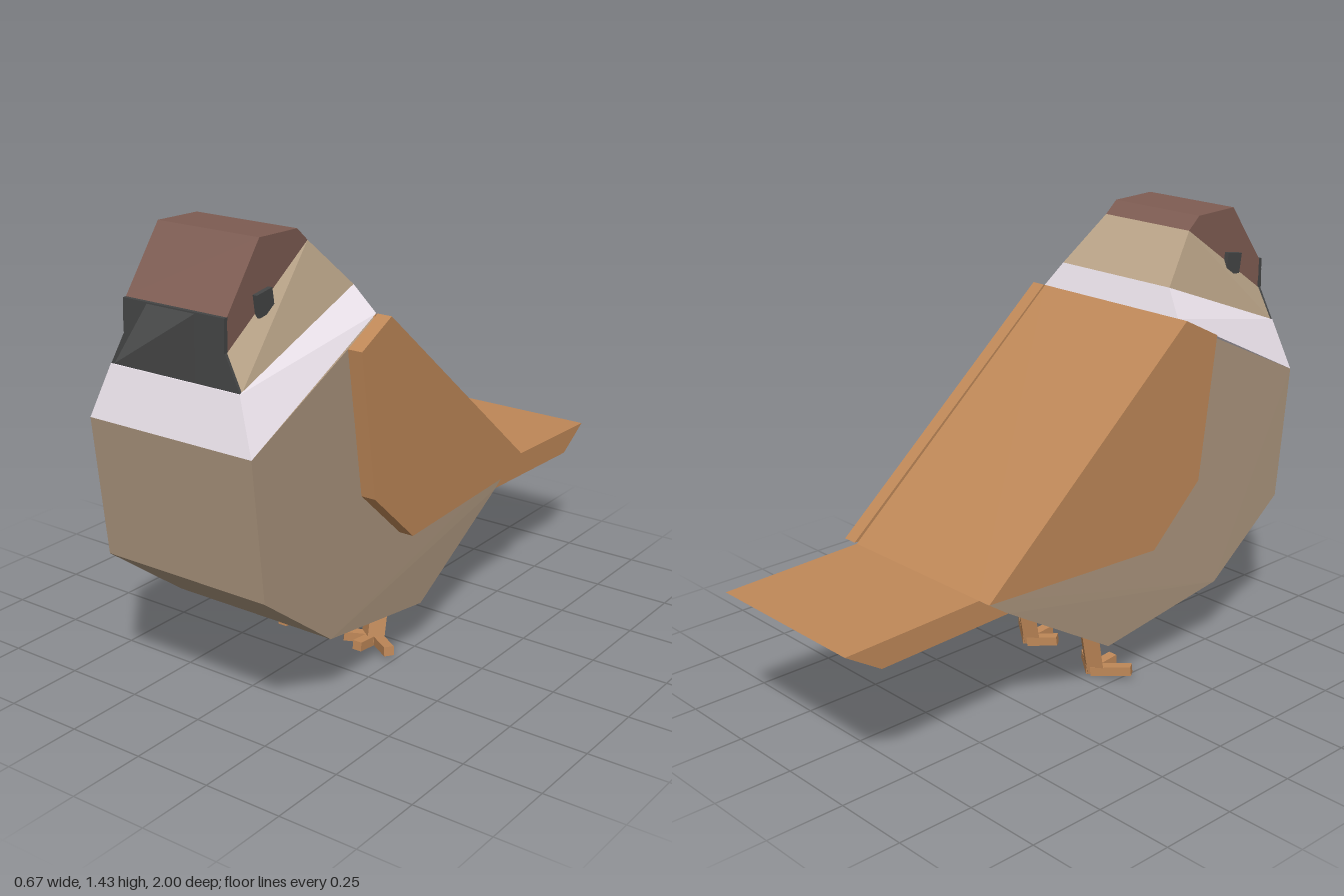
import * as THREE from 'three';
import { ConvexGeometry } from 'three/addons/geometries/ConvexGeometry.js';

const mat = (color) => new THREE.MeshStandardMaterial({ color, flatShading: true });
const tan = mat(0xab957d), headTan = mat(0xbaa488), white = mat(0xf0e7f0);
const brown = mat(0x7e5c52), dark = mat(0x444545), orange = mat(0xbf8858);
const CX = -0.008; // the torso sits a hair off the middle

export function createModel() {
  const model = new THREE.Group();
  model.name = 'bird';

  const add = (name, geometry, material, parent = model) => {
    const mesh = new THREE.Mesh(geometry, material);
    mesh.name = name;
    parent.add(mesh);
    return mesh;
  };

  // Convex solid from side-profile points [z, y, halfWidth], mirrored across x = cx
  const solid = (name, profile, material, cx = CX) => {
    const points = [];
    for (const [z, y, w] of profile) {
      for (const s of [-1, 1]) points.push(new THREE.Vector3(cx + s * w, y, z));
    }
    return add(name, new ConvexGeometry(points), material);
  };

  // Torso, with an orange cover along the sloping back
  solid('body', [
    [0.82, 0.89, 0.29], [0.775, 0.46, 0.288], [0.48, 0.235, 0.288], [0, 0.16, 0.278],
    [-0.42, 0.41, 0.285], [-0.52, 0.477, 0.285], [0.27, 1.147, 0.289],
  ], tan);
  solid('back', [
    [0.265, 1.16, 0.288], [0.27, 1.147, 0.288], [-0.53, 0.485, 0.284], [-0.52, 0.477, 0.284],
  ], orange);
  solid('tail', [
    [-0.53, 0.485, 0.284], [-1, 0.47, 0.284], [-0.88, 0.395, 0.284], [-0.42, 0.41, 0.284],
  ], orange);

  // Collar, cheeks, cap and dark face, stacked and tapering upward
  solid('collar', [
    [0.82, 0.89, 0.29], [0.265, 1.16, 0.29], [0.79, 1.05, 0.23], [0.29, 1.24, 0.23],
  ], white);
  solid('cheeks', [
    [0.78, 1.052, 0.23], [0.29, 1.24, 0.23], [0.775, 1.15, 0.178], [0.43, 1.385, 0.178],
  ], headTan);
  solid('cap', [
    [0.772, 1.15, 0.178], [0.772, 1.245, 0.178], [0.635, 1.43, 0.178],
    [0.475, 1.425, 0.178], [0.43, 1.385, 0.178],
  ], brown);
  for (const [name, low, high, wLow, wHigh] of [
    ['lowerFace', 1.05, 1.15, 0.23, 0.178], ['upperFace', 1.15, 1.245, 0.178, 0.178],
  ]) {
    solid(name, [[0.788, low, wLow], [0.77, low, wLow], [0.784, high, wHigh], [0.768, high, wHigh]], dark);
  }

  // Beak: four-sided pyramid
  solid('beak', [[0.775, 1.05, 0.088], [0.775, 1.245, 0.088], [1, 1.145, 0]], dark, -0.015);

  for (const side of [-1, 1]) {
    const label = side > 0 ? 'left' : 'right';

    // Flat eye and slab wing on each flank
    const eye = add(label + 'Eye', new THREE.BoxGeometry(0.03, 0.065, 0.065), dark);
    eye.position.set(CX + side * 0.178, 1.255, 0.63);
    eye.rotation.x = 0.15;

    solid(label + 'Wing', [
      [0.265, 1.16, 0.024], [0.405, 1.09, 0.024], [0.34, 0.635, 0.024],
      [0.145, 0.455, 0.024], [-0.53, 0.485, 0.024],
    ], orange, side * 0.311);

    // Leg: leaning square post with three spread toes
    const leg = new THREE.Group();
    leg.name = label + 'Leg';
    leg.position.set(side > 0 ? 0.13 : -0.167, 0, 0.045);
    model.add(leg);
    const shin = add('shin', new THREE.CylinderGeometry(0.043, 0.043, 0.2, 4), orange, leg);
    shin.scale.z = 0.7;
    shin.position.set(0, 0.112, -0.003);
    shin.rotation.x = -0.18;
    for (const angle of [-0.95, 0, 0.95]) {
      const length = angle * side > 0 ? 0.13 : 0.1;
      const toe = add('toe', new THREE.BoxGeometry(0.032, 0.03, length).translate(0, 0, length / 2), orange, leg);
      toe.position.set(0, 0.018, 0);
      toe.rotation.set(-0.1, angle, 0, 'YXZ');
    }
  }
  return model;
}
